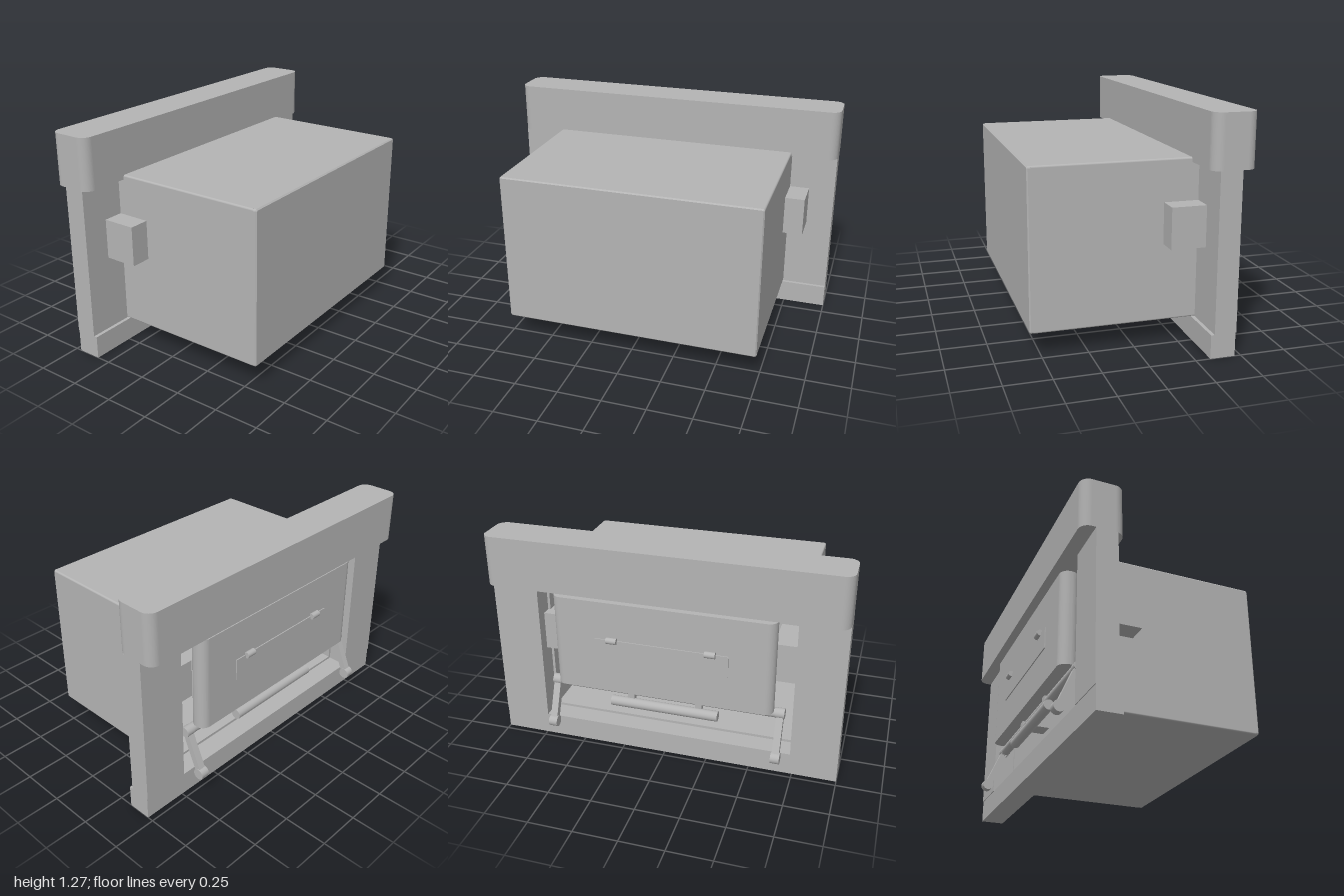
import * as THREE from 'three';

const grey = new THREE.MeshStandardMaterial({ color: 0xb4b4b4 });
grey.name = 'plain grey';

export function createModel() {
  const model = new THREE.Group();
  model.name = 'wallOven';

  const add = (name, geometry) => {
    const mesh = new THREE.Mesh(geometry, grey);
    mesh.name = name;
    model.add(mesh);
    return mesh;
  };

  // box given by its limits on each axis
  const box = (name, x0, x1, y0, y1, z0, z1) => {
    const mesh = add(name, new THREE.BoxGeometry(x1 - x0, y1 - y0, z1 - z0));
    mesh.position.set((x0 + x1) / 2, (y0 + y1) / 2, (z0 + z1) / 2);
    return mesh;
  };

  // cylinder lying along x
  const rod = (name, x, y, z, r, length) => {
    const mesh = add(name, new THREE.CylinderGeometry(r, r, length, 24));
    mesh.rotation.z = Math.PI / 2;
    mesh.position.set(x, y, z);
    return mesh;
  };

  const roundedRect = (w, h, r) => {
    const s = new THREE.Shape();
    s.absarc(w / 2 - r, h / 2 - r, r, 0, Math.PI / 2);
    s.absarc(-w / 2 + r, h / 2 - r, r, Math.PI / 2, Math.PI);
    s.absarc(-w / 2 + r, -h / 2 + r, r, Math.PI, Math.PI * 1.5);
    s.absarc(w / 2 - r, -h / 2 + r, r, Math.PI * 1.5, Math.PI * 2);
    s.closePath();
    return s;
  };

  // slab with rounded upright corners
  const uprightSlab = (name, w, y0, y1, z0, z1, r) => {
    const g = new THREE.ExtrudeGeometry(roundedRect(w, z1 - z0, r),
      { depth: y1 - y0, bevelEnabled: false, curveSegments: 10 });
    g.rotateX(-Math.PI / 2);
    add(name, g).position.set(0, y0, (z0 + z1) / 2);
  };

  // surround: header, sill and columns
  uprightSlab('header', 2, 0.985, 1.274, -0.549, -0.31, 0.055);
  box('sill', -1, 1, 0, 0.13, -0.466, -0.33);

  // hollow body, open at the back
  const shell = roundedRect(1.47, 0.88, 0.01);
  const hole = new THREE.Path();
  hole.moveTo(-0.72, -0.425).lineTo(-0.72, 0.425).lineTo(0.72, 0.425).lineTo(0.72, -0.425).closePath();
  shell.holes.push(hole);
  add('bodyShell', new THREE.ExtrudeGeometry(shell, { depth: 0.89, bevelEnabled: false }))
    .position.set(0, 0.57, -0.35);

  // closed front with a small chamfer
  const front = new THREE.ExtrudeGeometry(roundedRect(1.456, 0.866, 0.006),
    { depth: 0.013, bevelSize: 0.007, bevelThickness: 0.007, bevelSegments: 1 });
  add('bodyFront', front).position.set(0, 0.57, 0.54);

  // door panel, its inset plate and hinges
  uprightSlab('door', 1.26, 0.397, 0.95, -0.516, -0.41, 0.05);
  box('doorPlate', -0.38, 0.38, 0.6, 0.727, -0.522, -0.514);

  // lift rod and handle
  rod('liftRod', 0, 0.37, -0.43, 0.028, 1.28);
  rod('handle', 0, 0.303, -0.462, 0.03, 0.63);

  const arm = { y0: 0.138, z0: -0.53, y1: 0.37, z1: -0.43 };
  const armDy = arm.y1 - arm.y0, armDz = arm.z1 - arm.z0;

  for (const s of [-1, 1]) {
    const sideBox = (name, a, b, ...rest) => box(name, Math.min(s * a, s * b), Math.max(s * a, s * b), ...rest);
    sideBox('column', 0.735, 1, 0.13, 0.985, -0.47, -0.35);
    sideBox('sideBlock', 0.735, 0.85, 0.555, 0.78, -0.35, -0.16);
    sideBox('innerBlock', 0.6, 0.735, 0.555, 0.78, -0.405, -0.16);
    sideBox('handleLink', 0.18, 0.22, 0.3, 0.41, -0.46, -0.43);
    rod('plateHinge', s * 0.28, 0.727, -0.526, 0.018, 0.06);

    // swinging arm with round ends
    rod('armFoot', s * 0.662, arm.y0, arm.z0, 0.032, 0.05);
    rod('armPivot', s * 0.662, arm.y1, arm.z1, 0.03, 0.05);
    const bar = add('arm', new THREE.BoxGeometry(0.04, Math.hypot(armDy, armDz), 0.036));
    bar.position.set(s * 0.662, (arm.y0 + arm.y1) / 2, (arm.z0 + arm.z1) / 2);
    bar.rotation.x = Math.atan2(armDz, armDy);
  }
  return model;
}
